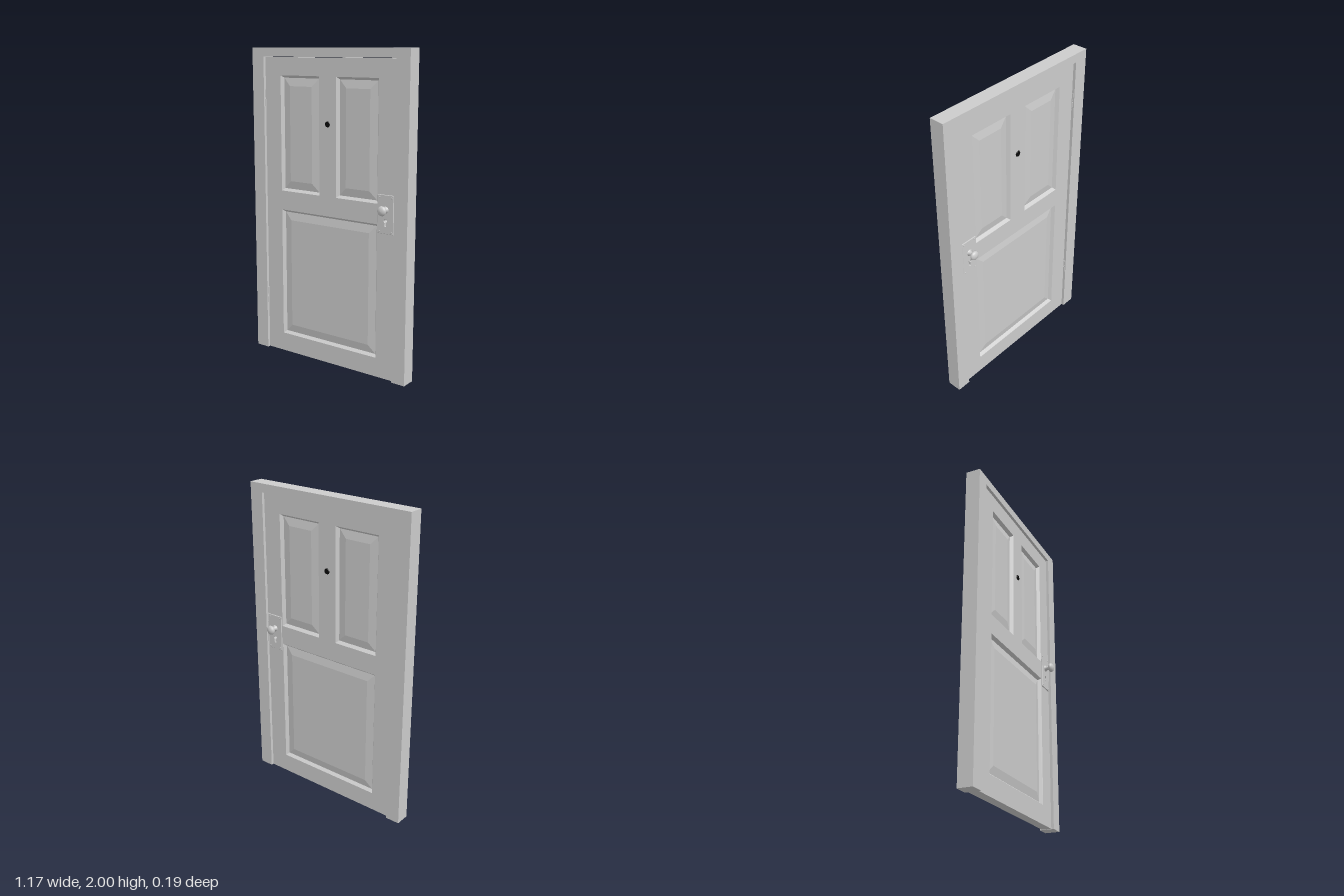
import * as THREE from 'three';

const grey = new THREE.MeshStandardMaterial({ color: 0xcccccc });
const flat = new THREE.MeshStandardMaterial({ color: 0xcccccc, flatShading: true });
const black = new THREE.MeshStandardMaterial({ color: 0x0a0a0a });

const FRAME_Z = 0.047, DOOR_Z = 0.031;
const LOCK_X = 0.43, KNOB_Y = 1.065;

function add(parent, name, geometry, material = grey, x = 0, y = 0, z = 0) {
  const mesh = new THREE.Mesh(geometry, material);
  mesh.name = name;
  mesh.position.set(x, y, z);
  parent.add(mesh);
  return mesh;
}

function rectangle(Type, x0, y0, x1, y1) {
  const p = new Type();
  p.moveTo(x0, y0);
  p.lineTo(x1, y0);
  p.lineTo(x1, y1);
  p.lineTo(x0, y1);
  p.closePath();
  return p;
}

// Round top with a narrow slot below it
function keyhole(cx, cy) {
  const p = new THREE.Path();
  p.moveTo(cx - 0.005, cy - 0.032);
  p.lineTo(cx + 0.005, cy - 0.032);
  p.lineTo(cx + 0.005, cy - 0.009);
  p.absarc(cx, cy, 0.0105, -1.07, Math.PI + 1.07, false);
  p.closePath();
  return p;
}

function extrude(shape, depth, bevel = 0) {
  return new THREE.ExtrudeGeometry(shape, {
    depth: depth - bevel, curveSegments: 8, bevelEnabled: bevel > 0,
    bevelSize: bevel, bevelThickness: bevel, bevelOffset: -bevel, bevelSegments: 1,
  });
}

// Raised panel: nested rectangles, each [inset, z], closed by the middle field
function panelGeometry(w, h) {
  const rings = [[0, DOOR_Z], [0.015, 0.011], [0.066, 0.02]].map(([inset, z]) =>
    [[-1, -1], [1, -1], [1, 1], [-1, 1]].map(([sx, sy]) =>
      [sx * (w / 2 - inset), sy * (h / 2 - inset), z]));
  const pos = [];
  const quad = (a, b, c, d) => pos.push(...a, ...b, ...c, ...a, ...c, ...d);
  for (let r = 0; r < rings.length - 1; r++) {
    for (let i = 0; i < 4; i++) {
      const j = (i + 1) % 4;
      quad(rings[r][i], rings[r][j], rings[r + 1][j], rings[r + 1][i]);
    }
  }
  quad(...rings[rings.length - 1]);
  const g = new THREE.BufferGeometry();
  g.setAttribute('position', new THREE.Float32BufferAttribute(pos, 3));
  g.computeVertexNormals();
  return g;
}

// Centre x, centre y, width, height
const PANELS = [
  [-0.2165, 1.4625, 0.305, 0.735],
  [0.2165, 1.4625, 0.305, 0.735],
  [0, 0.5475, 0.737, 0.845],
];

// Panels, lock plate, knob and peephole for one face; side is 1 front, -1 back
function doorFace(side) {
  const face = new THREE.Group();
  face.name = side > 0 ? 'frontFace' : 'backFace';
  if (side < 0) face.rotation.y = Math.PI;

  for (const [x, y, w, h] of PANELS) add(face, 'panel', panelGeometry(w, h), flat, x, y, 0);

  const lock = new THREE.Group();
  lock.name = 'lock';
  lock.position.set(LOCK_X * side, 0, DOOR_Z);
  face.add(lock);

  const plate = rectangle(THREE.Shape, -0.055, 0.92, 0.055, 1.155);
  plate.holes.push(keyhole(0, 0.998));
  add(lock, 'lockPlate', extrude(plate, 0.006, 0.002), flat);

  // Screw heads at the plate corners
  for (const x of [-0.042, 0.042]) {
    for (const y of [0.935, 1.14]) {
      const screw = add(lock, 'screw', new THREE.SphereGeometry(0.005, 10, 6), grey, x, y, 0.006);
      screw.scale.z = 0.5;
    }
  }

  // Turned knob with collar, stem and flattened head
  const profile = [
    [0.021, 0], [0.021, 0.008], [0.014, 0.011], [0.013, 0.03], [0.02, 0.033],
    [0.027, 0.038], [0.03, 0.046], [0.027, 0.054], [0.019, 0.06], [0.009, 0.063], [0, 0.064],
  ].map(([r, z]) => new THREE.Vector2(r, z));
  const knob = add(lock, 'knob', new THREE.LatheGeometry(profile, 28), grey, 0, KNOB_Y, 0);
  knob.rotation.x = Math.PI / 2;

  const peephole = add(face, 'peephole', new THREE.CylinderGeometry(0.016, 0.019, 0.006, 20),
    black, 0, 1.543, DOOR_Z + 0.002);
  peephole.rotation.x = Math.PI / 2;
  return face;
}

export function createModel() {
  const model = new THREE.Group();
  model.name = 'door';

  // Surround: two jambs and a lintel in one piece
  const surround = new THREE.Shape();
  [[-0.587, 0], [-0.495, 0], [-0.495, 1.945], [0.495, 1.945],
    [0.495, 0], [0.587, 0], [0.587, 2], [-0.587, 2]]
    .forEach(([x, y], i) => (i ? surround.lineTo(x, y) : surround.moveTo(x, y)));
  surround.closePath();
  add(model, 'frame', extrude(surround, FRAME_Z * 2), flat, 0, 0, -FRAME_Z);

  // Slab with openings for the panels and the keyhole
  const slab = rectangle(THREE.Shape, -0.492, 0.002, 0.492, 1.942);
  for (const [x, y, w, h] of PANELS) {
    slab.holes.push(rectangle(THREE.Path, x - w / 2, y - h / 2, x + w / 2, y + h / 2));
  }
  slab.holes.push(keyhole(LOCK_X, 0.998));
  add(model, 'slab', extrude(slab, DOOR_Z * 2), flat, 0, 0, -DOOR_Z);

  model.add(doorFace(1), doorFace(-1));

  // Hinges: leaves in two lengths between slab and jamb
  for (const y of [0.37, 1.685]) {
    for (const dy of [-0.029, 0.029]) {
      add(model, 'hingeLeaf', new THREE.BoxGeometry(0.006, 0.046, 0.078), flat, -0.494, y + dy, 0);
    }
  }

  // Strike plate beside the lock
  add(model, 'strikePlate', new THREE.BoxGeometry(0.006, 0.145, 0.07), flat, 0.4935, 1.028, 0);

  return model;
}
